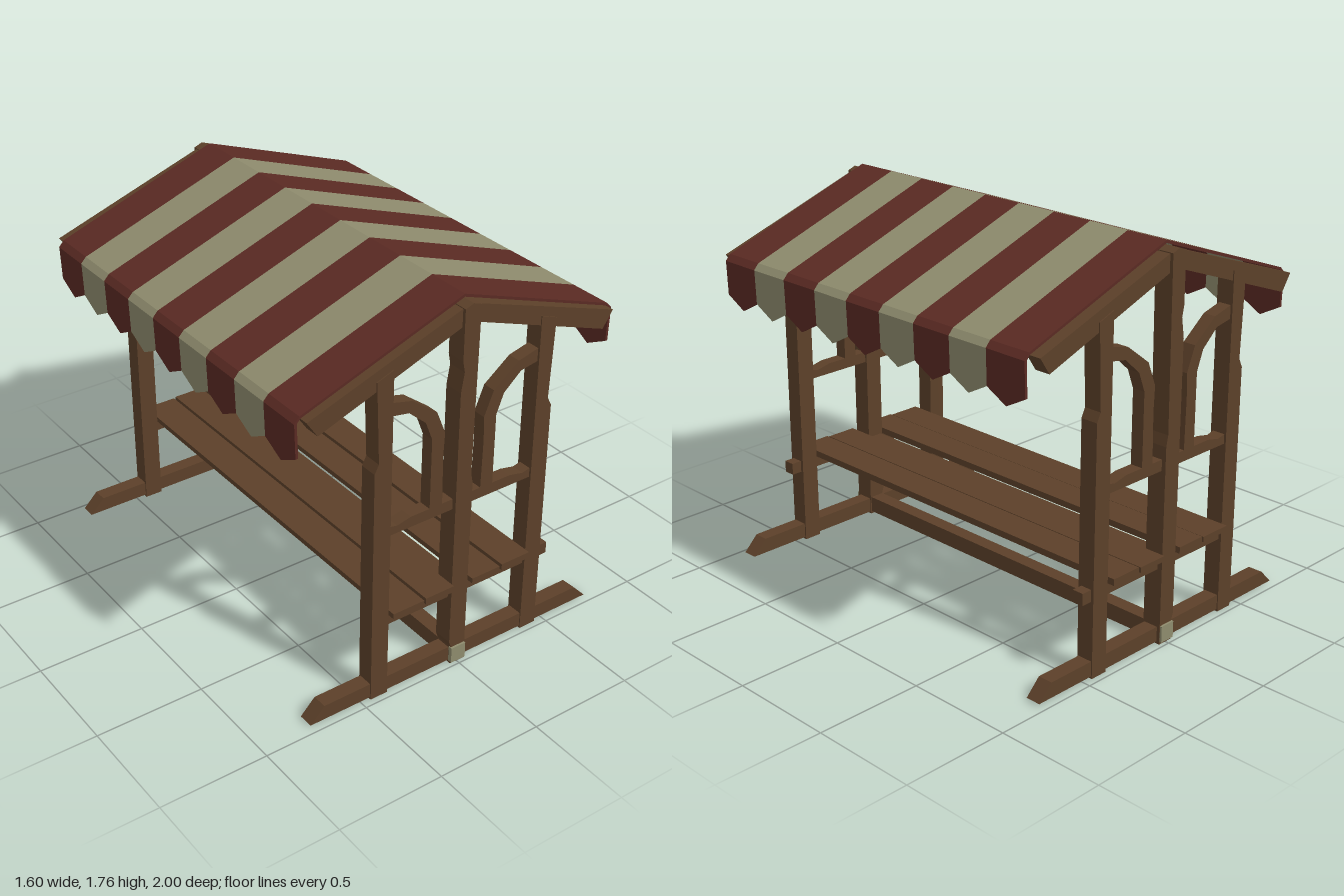
import * as THREE from 'three';

const paint = (color) => new THREE.MeshStandardMaterial({ color, flatShading: true });

export function createModel() {
  const model = new THREE.Group();
  const wood = paint(0x5c4029);
  const red = paint(0x5a2a23);
  const cream = paint(0x8e8b6d);

  // Outline in x/y, extruded from z0 to z1
  function slab(name, points, z0, z1, material, parent) {
    const shape = new THREE.Shape(points.map(([x, y]) => new THREE.Vector2(x, y)));
    const geometry = new THREE.ExtrudeGeometry(shape, { depth: z1 - z0, bevelEnabled: false });
    geometry.translate(0, 0, z0);
    const mesh = new THREE.Mesh(geometry, material);
    mesh.name = name;
    parent.add(mesh);
    return mesh;
  }

  // Box given by its limits
  function box(name, [x0, x1], [y0, y1], [z0, z1], material, parent) {
    const mesh = new THREE.Mesh(new THREE.BoxGeometry(x1 - x0, y1 - y0, z1 - z0), material);
    mesh.position.set((x0 + x1) / 2, (y0 + y1) / 2, (z0 + z1) / 2);
    mesh.name = name;
    parent.add(mesh);
  }

  const mirrorX = (points, s) => points.map(([x, y]) => [s * x, y]);

  // Outlines with hand-hewn notches
  const sidePost = [[0.37, 0], [0.455, 0], [0.455, 1.13], [0.435, 1.17], [0.45, 1.54], [0.37, 1.57]];
  const centrePost = [[-0.035, 0], [0.04, 0], [0.04, 0.91], [0.03, 0.96], [0.04, 1.73], [0, 1.745],
    [-0.04, 1.73], [-0.04, 1.5], [-0.03, 1.45], [-0.045, 1.36], [-0.045, 0.12], [-0.035, 0.09]];
  const rafter = [[0, 1.66], [0.72, 1.4], [0.77, 1.475], [0, 1.74]];
  const brace = [[0.37, 1.42], [0.27, 1.395], [0.145, 1.3], [0.1, 1.19], [0.105, 1.08], [0.1, 0.84],
    [0.165, 0.84], [0.165, 1.1], [0.165, 1.18], [0.2, 1.27], [0.285, 1.345], [0.37, 1.36]];
  const rail = [[0, 0.8], [0.375, 0.8], [0.375, 0.845], [0.33, 0.835], [0.26, 0.85], [0, 0.85]];

  // Gable frames at both ends
  for (const end of [1, -1]) {
    const frame = new THREE.Group();
    frame.name = end > 0 ? 'frontFrame' : 'backFrame';
    model.add(frame);
    const across = (name, points, a, b) =>
      slab(name, points, end > 0 ? a : -b, end > 0 ? b : -a, wood, frame);
    across('foot', [[-0.76, 0.01], [0.76, 0.01], [0.69, 0.08], [-0.69, 0.08]], 0.895, 0.965);
    across('centrePost', centrePost, 0.89, 0.98);
    across('seatBearer', [[-0.4, 0.35], [0.505, 0.35], [0.505, 0.405], [-0.4, 0.405]], 0.903, 0.957);
    for (const s of [1, -1]) {
      across('sidePost', mirrorX(sidePost, s), 0.888, 0.97);
      across('rafter', mirrorX(rafter, s), 0.893, 0.965);
      across('curvedBrace', mirrorX(brace, s), 0.9, 0.96);
      across('rail', mirrorX(rail, s), 0.9, 0.96);
    }
    const capZ = end > 0 ? [0.97, 0.99] : [-0.99, -0.97];
    box('beamEndCap', [-0.038, 0.038], [0.012, 0.088], capZ, cream, frame);
  }

  // Lengthwise beams
  box('groundBeam', [-0.035, 0.035], [0.012, 0.088], [-0.97, 0.97], wood, model);
  box('seatBeam', [-0.035, 0.035], [0.34, 0.41], [-0.9, 0.9], wood, model);
  box('ridgeBeam', [-0.035, 0.035], [1.63, 1.7], [-0.9, 0.9], wood, model);

  // Seat planks either side of the centre posts
  const planks = [[-0.367, -0.208], [-0.198, -0.05], [0.05, 0.2], [0.212, 0.365]];
  planks.forEach((x, i) => {
    const lift = i % 2 ? 0.005 : 0;
    box('seatPlank', x, [0.405, 0.43 + lift], [-1, 1], wood, model);
  });

  // Striped canopy with pointed hanging flaps
  const canopy = new THREE.Group();
  canopy.name = 'canopy';
  model.add(canopy);
  const stripes = 9, zBack = -0.912, width = 1.838 / stripes;
  const roof = [[0, 1.763], [-0.775, 1.487], [-0.8, 1.46], [-0.788, 1.457], [-0.77, 1.477],
    [0, 1.75], [0.77, 1.477], [0.788, 1.457], [0.8, 1.46], [0.775, 1.487]];
  const flap = [[-width / 2, 0], [-width / 2, -0.155], [0, -0.21], [width / 2, -0.155], [width / 2, 0]];
  for (let i = 0; i < stripes; i++) {
    const material = i % 2 ? cream : red;
    const z = zBack + i * width;
    slab('roofStripe', roof, z, z + width, material, canopy);
    for (const s of [1, -1]) {
      const mesh = slab('flap', flap, -0.006, 0.006, material, canopy);
      mesh.position.set(s * 0.793, 1.46, z + width / 2);
      mesh.rotation.set(0.03, s * Math.PI / 2, 0, 'YXZ');
    }
  }
  return model;
}
